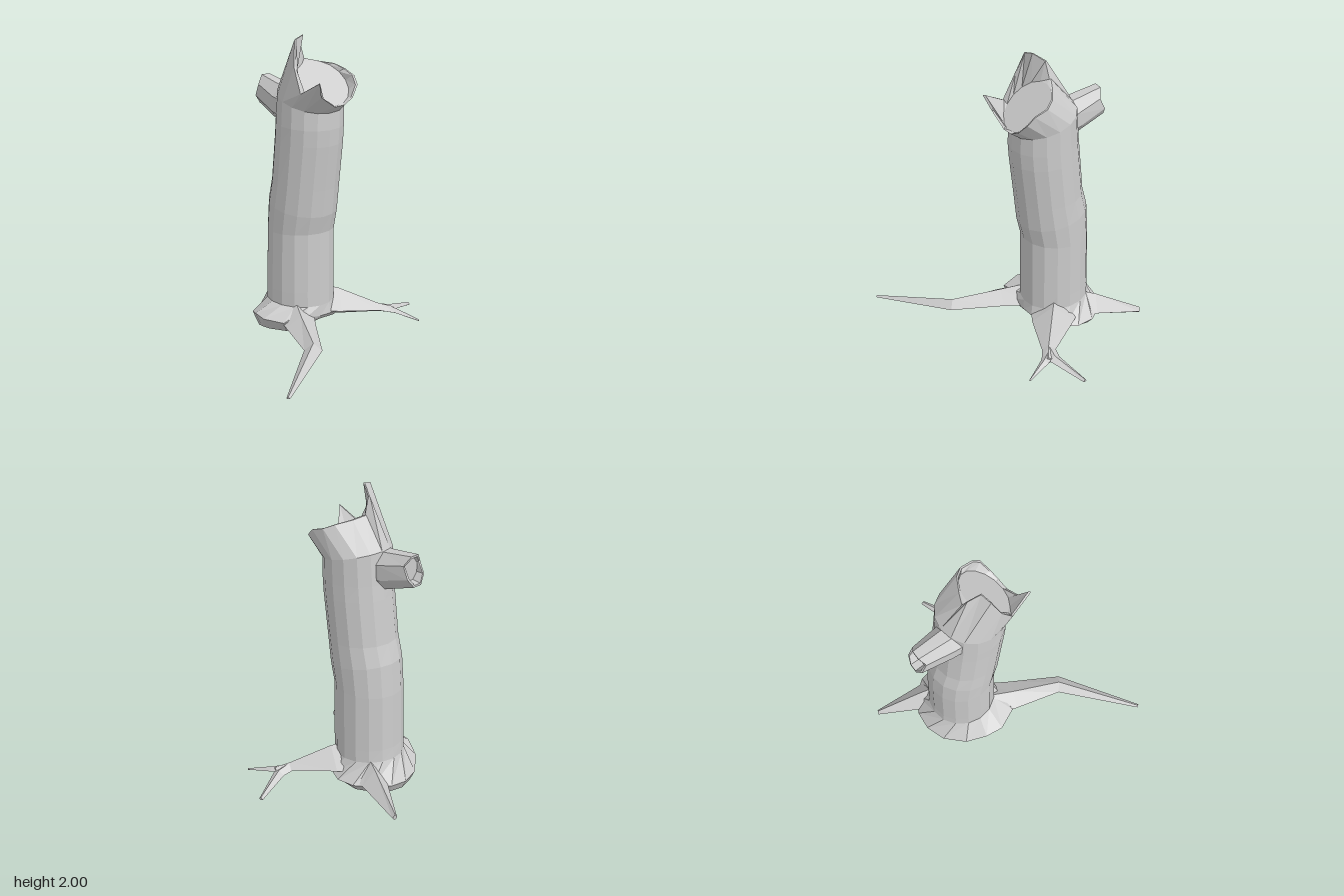
import * as THREE from 'three';

const SIDES = 16;

// Skins matching cross-sections, listed counterclockwise as seen from the far end.
function loft(rings, capStart = true, capEnd = true) {
  const pos = [];
  const tri = (a, b, c) => pos.push(...a, ...b, ...c);
  const n = rings[0].length;
  const mid = (r) => [0, 1, 2].map((k) => r.reduce((s, p) => s + p[k], 0) / n);
  const first = rings[0], last = rings[rings.length - 1];
  const c0 = mid(first), c1 = mid(last);
  for (let i = 0; i < n; i++) {
    const j = (i + 1) % n;
    for (let k = 0; k < rings.length - 1; k++) {
      const a = rings[k], b = rings[k + 1];
      tri(a[i], a[j], b[j]);
      tri(a[i], b[j], b[i]);
    }
    if (capStart) tri(first[j], first[i], c0);
    if (capEnd) tri(last[i], last[j], c1);
  }
  const g = new THREE.BufferGeometry();
  g.setAttribute('position', new THREE.Float32BufferAttribute(pos, 3));
  g.computeVertexNormals();
  return g;
}

// Tilted oval section of the trunk, from its front and back edge.
function trunkRing([yF, zF, yB, zB, xL, xR]) {
  return Array.from({ length: SIDES }, (_, i) => {
    const a = (i / SIDES) * Math.PI * 2, t = (1 + Math.cos(a)) / 2;
    return [(xL + xR) / 2 + ((xR - xL) / 2) * Math.sin(a), yB + (yF - yB) * t, zB + (zF - zB) * t];
  });
}

// Diamond section of a root: centre x and z, heading, half width, top and bottom height.
function rootRing([x, z, dx, dz, w, top, bottom]) {
  const l = Math.hypot(dx, dz), sx = (dz / l) * w, sz = (-dx / l) * w;
  const y = bottom + (top - bottom) * 0.35;
  return [[x + sx, y, z + sz], [x, top, z], [x - sx, y, z - sz], [x, bottom, z]];
}

export function createModel() {
  const group = new THREE.Group();
  const bark = new THREE.MeshStandardMaterial({ color: 0xcccccc, flatShading: true, side: THREE.DoubleSide });
  bark.name = 'pale grey wood';
  const add = (name, geometry) => {
    const m = new THREE.Mesh(geometry, bark);
    m.name = name;
    group.add(m);
  };

  // Flared foot, starting at the front and turning towards +x
  const shoulder = [
    [0, 0.13, 0.005], [0.09, 0.13, -0.005], [0.17, 0.12, -0.035], [0.23, 0.11, -0.09],
    [0.27, 0.1, -0.17], [0.3, 0.09, -0.25], [0.28, 0.09, -0.37], [0.2, 0.09, -0.47],
    [0.09, 0.08, -0.535], [-0.03, 0.07, -0.545], [-0.16, 0.07, -0.5], [-0.28, 0.1, -0.39],
    [-0.34, 0.14, -0.26], [-0.355, 0.14, -0.14], [-0.29, 0.14, 0], [-0.12, 0.14, 0.005],
  ];
  const soleY = [0.1, 0.1, 0.09, 0.08, 0.07, 0.06, 0.04, 0.03, 0.02, 0.01, 0, 0, 0.04, 0.06, 0.07, 0.08];
  const sole = shoulder.map(([x, , z], i) => [x * 0.86, soleY[i], -0.23 + (z + 0.23) * 0.9]);

  // Broken rim with one tall splinter at the back and a short one in front
  const rim = [
    [0.01, 1.57, 0.15], [0.09, 1.575, 0.145], [0.16, 1.61, 0.13], [0.22, 1.68, 0.1],
    [0.23, 1.73, 0.05], [0.225, 1.76, -0.04], [0.18, 1.79, -0.1], [0.08, 1.81, -0.155],
    [0, 1.83, -0.19], [-0.04, 1.94, -0.18], [-0.07, 2, -0.1], [-0.14, 1.98, -0.08],
    [-0.18, 1.82, -0.03], [-0.185, 1.66, 0.05], [-0.15, 1.75, 0.21], [-0.11, 1.65, 0.17],
  ];
  const innerRim = rim.map(([x, y, z]) => [0.02 + (x - 0.02) * 0.94, y, -0.01 + (z + 0.01) * 0.94]);
  const heart = trunkRing([1.57, 0.13, 1.815, -0.15, -0.155, 0.205]);

  // Trunk sections: front y, front z, back y, back z, right x, left x
  const trunk = [
    [0.2, 0, 0.22, -0.46, -0.225, 0.22],
    [0.3, 0, 0.3, -0.455, -0.225, 0.22],
    [0.7, 0, 0.68, -0.45, -0.22, 0.22],
    [0.82, 0.03, 0.9, -0.435, -0.22, 0.225],
    [1.0, 0.05, 1.03, -0.4, -0.215, 0.225],
    [1.3, 0.087, 1.33, -0.37, -0.21, 0.23],
    [1.41, 0.095, 1.43, -0.36, -0.21, 0.23],
    [1.52, 0.092, 1.64, -0.345, -0.205, 0.23],
  ].map(trunkRing);
  add('trunk', loft([sole, shoulder, ...trunk, rim], true, false));
  add('brokenTop', loft([rim, innerRim, heart], false, true));

  // Snapped branch stub with a hollow, uneven end
  const stubRing = (cx, cy, rx, ry, zAt) => Array.from({ length: 8 }, (_, i) => {
    const a = ((i + 0.5) / 8) * Math.PI * 2, s = Math.sin(a);
    return [cx - rx * Math.cos(a), cy + ry * s, zAt(s)];
  });
  add('branchStub', loft([
    stubRing(-0.035, 1.51, 0.11, 0.135, () => -0.29),
    stubRing(-0.035, 1.515, 0.105, 0.13, (s) => -0.355 + s * 0.015),
    stubRing(-0.045, 1.57, 0.078, 0.105, (s) => (s > 0.5 ? -0.565 : s > 0 ? -0.54 : -0.565 + s * 0.03)),
    stubRing(-0.045, 1.57, 0.064, 0.09, (s) => (s > 0.5 ? -0.565 : s > 0 ? -0.54 : -0.565 + s * 0.03)),
    stubRing(-0.045, 1.565, 0.06, 0.08, () => -0.53),
  ]));

  // Roots
  const roots = {
    frontRightRoot: [
      [-0.12, -0.12, -0.3, 1, 0.13, 0.23, 0.08],
      [-0.2, 0.07, -0.3, 1, 0.1, 0.19, 0.08],
      [-0.32, 0.38, -0.75, 1, 0.058, 0.137, 0.06],
      [-0.76, 0.752, -1, 0.9, 0.012, 0.022, 0.008],
    ],
    leftRoot: [
      [0.14, -0.16, 1, 0.5, 0.16, 0.27, 0.07],
      [0.22, -0.1, 1, 0.5, 0.14, 0.25, 0.07],
      [0.44, 0.06, 1, 0.6, 0.045, 0.14, 0.085],
      [0.525, 0.11, 1, 0.3, 0.045, 0.115, 0.07],
    ],
    leftRootLongFork: [
      [0.45, 0.06, 1, 0.2, 0.045, 0.135, 0.085],
      [0.53, 0.065, 1, -0.2, 0.04, 0.115, 0.075],
      [0.762, -0.025, 1, -0.3, 0.014, 0.052, 0.03],
    ],
    leftRootShortFork: [
      [0.47, 0.07, 0.6, 1, 0.045, 0.13, 0.08],
      [0.525, 0.14, 0.6, 1, 0.028, 0.11, 0.075],
      [0.603, 0.292, 0.5, 1, 0.005, 0.06, 0.048],
    ],
    backRoot: [
      [0.14, -0.38, 0.4, -1, 0.11, 0.23, 0.04],
      [0.17, -0.46, 0.4, -1, 0.085, 0.2, 0.04],
      [0.277, -0.752, 0.4, -1, 0.016, 0.052, 0.01],
    ],
  };
  for (const [name, sections] of Object.entries(roots)) add(name, loft(sections.map(rootRing)));

  return group;
}
